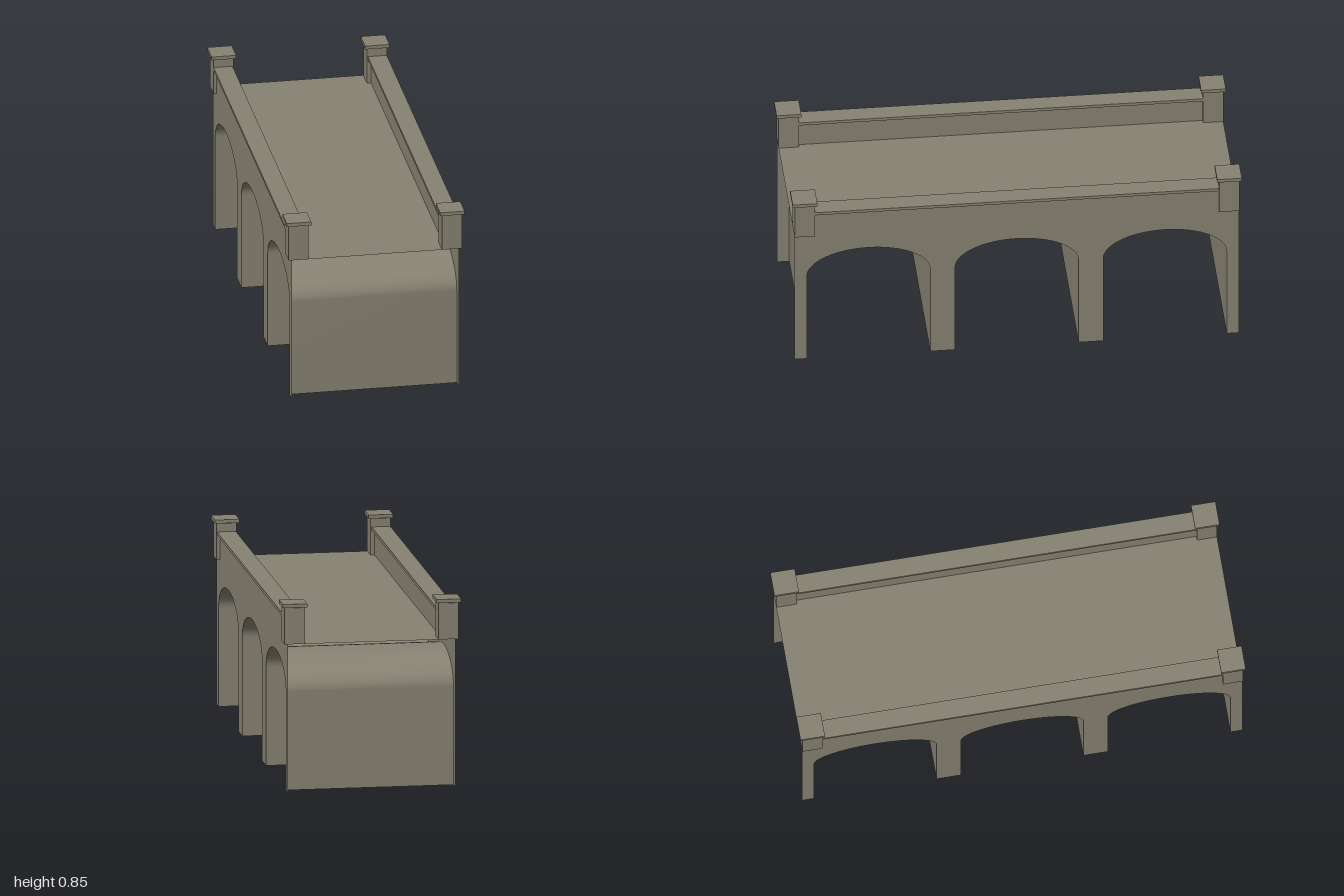
import * as THREE from 'three';

export function createModel() {
  const stone = new THREE.MeshStandardMaterial({ color: 0x878272, side: THREE.DoubleSide });
  stone.name = 'stone';
  const group = new THREE.Group();
  group.name = 'archBridge';

  const WALL_X = 0.376, END_Z = 0.99, DECK_Y = 0.67, COPING_Y = 0.783;
  const SPRING_Y = 0.445, RISE = 0.137, HALF_SPAN = 0.275, ARCHES = [-0.66, 0, 0.66];

  const add = (name, geometry, x = 0, y = 0, z = 0) => {
    const mesh = new THREE.Mesh(geometry, stone);
    mesh.name = name;
    mesh.position.set(x, y, z);
    group.add(mesh);
  };
  const box = (name, w, y0, y1, d, x, z) =>
    add(name, new THREE.BoxGeometry(w, y1 - y0, d), x, (y0 + y1) / 2, z);

  // Outline of one arch opening, foot to foot, as (z, y) points
  const archPoints = (centre) => {
    const pts = [new THREE.Vector2(centre - HALF_SPAN, 0)];
    for (let i = 0; i <= 32; i++) {
      const a = Math.PI * (1 - i / 32);
      pts.push(new THREE.Vector2(centre + HALF_SPAN * Math.cos(a), SPRING_Y + RISE * Math.sin(a)));
    }
    pts.push(new THREE.Vector2(centre + HALF_SPAN, 0));
    return pts;
  };

  // Side walls: thin sheets cut out by the three arches
  const outline = [new THREE.Vector2(-END_Z, 0)];
  ARCHES.forEach((c) => outline.push(...archPoints(c)));
  outline.push(
    new THREE.Vector2(END_Z, 0),
    new THREE.Vector2(END_Z, COPING_Y),
    new THREE.Vector2(-END_Z, COPING_Y)
  );
  for (const s of [-1, 1]) {
    const wall = new THREE.ShapeGeometry(new THREE.Shape(outline));
    wall.rotateY(s * Math.PI / 2);
    add('sideWall', wall, s * WALL_X);
  }

  // Vault linings: sheets swept across the bridge, open below the piers
  for (const c of ARCHES) {
    const pts = archPoints(c);
    const vault = new THREE.PlaneGeometry(2 * WALL_X, 1, 1, pts.length - 1);
    const pos = vault.attributes.position;
    for (let i = 0; i < pos.count; i++) {
      const p = pts[Math.floor(i / 2)];
      pos.setXYZ(i, pos.getX(i), p.y, p.x);
    }
    vault.computeVertexNormals();
    add('archVault', vault);
  }

  // Road deck
  const deck = new THREE.PlaneGeometry(2 * WALL_X, 2 * END_Z);
  deck.rotateX(-Math.PI / 2);
  add('deck', deck, 0, DECK_Y, 0);

  for (const s of [-1, 1]) {
    // Parapet inner face and coping
    const inner = new THREE.PlaneGeometry(2 * END_Z - 0.02, COPING_Y - DECK_Y);
    inner.rotateY(-s * Math.PI / 2);
    add('parapetInnerFace', inner, s * 0.318, (COPING_Y + DECK_Y) / 2, 0);
    box('coping', 0.085, COPING_Y, 0.797, 2 * END_Z - 0.02, s * 0.347, 0);

    // Corner posts with overhanging caps
    for (const e of [-1, 1]) {
      box('cornerPost', 0.09, DECK_Y, 0.834, 0.09, s * 0.345, e * 0.945);
      box('postCap', 0.11, 0.837, 0.853, 0.11, s * 0.345, e * 0.945);
    }
  }
  return group;
}
